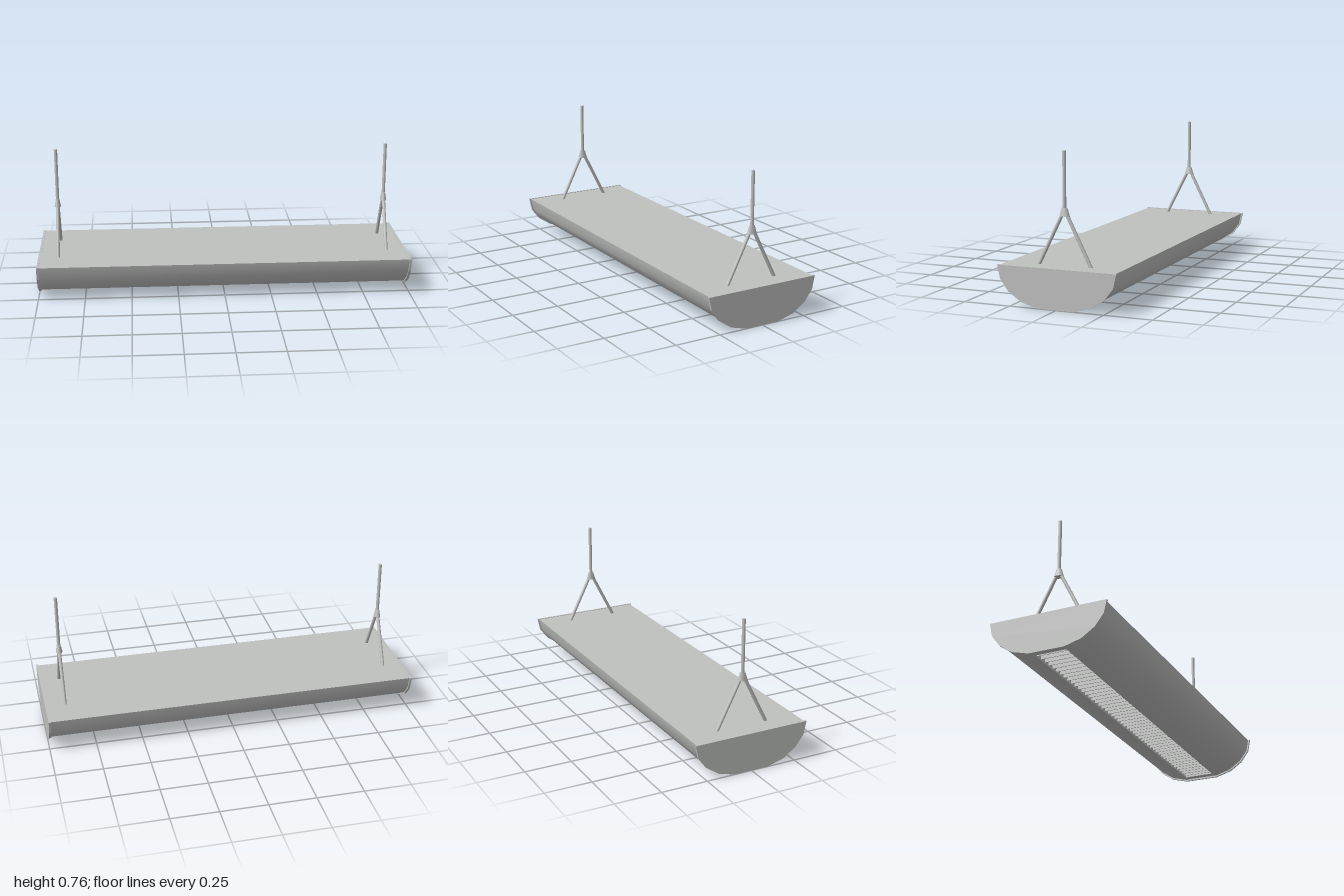
import * as THREE from 'three';
import { toCreasedNormals } from 'three/addons/utils/BufferGeometryUtils.js';

export function createModel() {
  const group = new THREE.Group();
  const metal = new THREE.MeshStandardMaterial({ color: 0xbfc1bf });
  metal.name = 'light grey metal';

  const add = (parent, name, geometry, x = 0, y = 0, z = 0) => {
    const mesh = new THREE.Mesh(geometry, metal);
    mesh.name = name;
    mesh.position.set(x, y, z);
    parent.add(mesh);
    return mesh;
  };

  // Extrudes half a (z, y) outline, mirrored about z = 0, along x
  const extrudeAlongX = (half, length, crease) => {
    const mirrored = half.map(([z, y]) => [-z, y]).reverse();
    const shape = new THREE.Shape([...half, ...mirrored].map(([z, y]) => new THREE.Vector2(z, y)));
    const geometry = new THREE.ExtrudeGeometry(shape, { depth: length, bevelEnabled: false });
    geometry.translate(0, 0, -length / 2).rotateY(Math.PI / 2);
    return toCreasedNormals(geometry, crease);
  };

  // Curved housing with a recess along its underside
  const slotHalf = 0.085, slotTop = 0.06, slotEnd = 0.95;
  add(group, 'housing', extrudeAlongX([
    [0.307, 0.203], [0.293, 0.138], [0.25, 0.081], [0.182, 0.035],
    [0.095, 0.01], [slotHalf, 0.01], [slotHalf, slotTop],
  ], 1.978, 0.6));

  // Faceted end caps, standing slightly proud of the housing
  const capOutline = [[0.315, 0.205], [0.30, 0.135], [0.255, 0.075], [0.185, 0.028], [0.095, 0.003]];
  for (const side of [-1, 1]) {
    add(group, 'endCap', extrudeAlongX(capOutline, 0.012, 0.1), side * 0.994);
    add(group, 'slotEnd', new THREE.BoxGeometry(0.988 - slotEnd, 0.05, slotHalf * 2),
      side * (0.988 + slotEnd) / 2, 0.037, 0);
  }

  // Cross louvres in the recess
  const louvres = new THREE.Group();
  louvres.name = 'louvres';
  group.add(louvres);
  const count = 48;
  const blade = new THREE.BoxGeometry(0.004, 0.044, slotHalf * 2);
  for (let i = 0; i < count; i++) {
    add(louvres, 'louvreBlade', blade, -slotEnd + (i + 0.5) * 2 * slotEnd / count, 0.038, 0);
  }

  // Forked hangers
  const up = new THREE.Vector3(0, 1, 0);
  const rod = (parent, name, from, to, radius) => {
    const direction = to.clone().sub(from);
    const centre = from.clone().add(to).multiplyScalar(0.5);
    const geometry = new THREE.CylinderGeometry(radius, radius, direction.length(), 16);
    const mesh = add(parent, name, geometry, centre.x, centre.y, centre.z);
    mesh.quaternion.setFromUnitVectors(up, direction.normalize());
  };
  for (const side of [-1, 1]) {
    const hanger = new THREE.Group();
    hanger.name = 'hanger';
    hanger.position.x = side * 0.893;
    group.add(hanger);
    rod(hanger, 'hangerRod', new THREE.Vector3(0, 0.47, 0), new THREE.Vector3(0, 0.766, 0), 0.009);
    const collar = add(hanger, 'hangerCollar', new THREE.CylinderGeometry(0.015, 0.027, 0.041, 20), 0, 0.4675, 0);
    collar.scale.x = 0.65;
    for (const z of [-1, 1]) {
      rod(hanger, 'hangerLeg', new THREE.Vector3(0, 0.195, z * 0.143), new THREE.Vector3(0, 0.46, z * 0.01), 0.009);
    }
  }
  return group;
}
